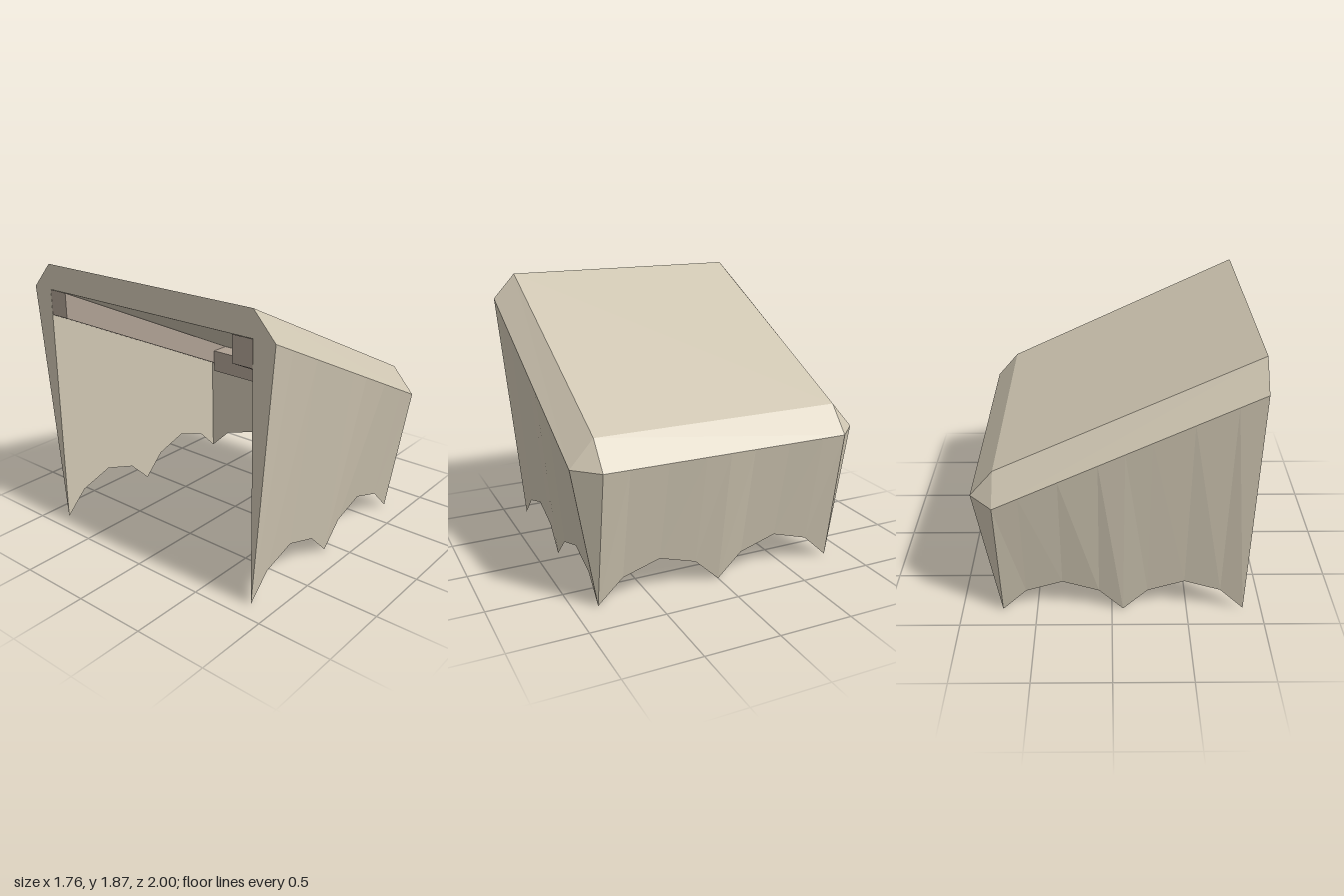
import * as THREE from 'three';

// Main dimensions: open high end at X0, low end at X1 (eave reaches XE)
const X0 = -0.88, X1 = 0.73, XE = 0.88;
const ZI = 0.845, ZE = 1;
const TOP0 = 1.865, TOP1 = 1.1, EAVE0 = 1.695, EAVE1 = 0.925;
const lerp = THREE.MathUtils.lerp;

// Scalloped hem: position along the wall and height
const HEM = [[0, 0], [0.1, 0.158], [0.25, 0.235], [0.4, 0.158], [0.5, 0],
  [0.6, 0.158], [0.75, 0.235], [0.9, 0.158], [1, 0]];

// Flat-faced geometry from convex polygons
function polygons(list) {
  const pos = [];
  for (const p of list) {
    for (let i = 1; i < p.length - 1; i++) pos.push(...p[0], ...p[i], ...p[i + 1]);
  }
  const g = new THREE.BufferGeometry();
  g.setAttribute('position', new THREE.Float32BufferAttribute(pos, 3));
  g.computeVertexNormals();
  return g;
}

// Triangulated cloth strip between a hem line and a top line
function strip(bottom, top) {
  const tris = [];
  for (let i = 0; i < bottom.length - 1; i++) {
    tris.push([bottom[i], bottom[i + 1], top[i + 1]], [bottom[i], top[i + 1], top[i]]);
  }
  return polygons(tris);
}

export function createModel() {
  const group = new THREE.Group();
  const canvas = new THREE.MeshStandardMaterial({ color: 0xcfc6b2, side: THREE.DoubleSide, flatShading: true });
  canvas.name = 'canvas';
  const timber = new THREE.MeshStandardMaterial({ color: 0xaea093, flatShading: true });
  timber.name = 'timber';

  const add = (name, geometry, material = canvas) => {
    const m = new THREE.Mesh(geometry, material);
    m.name = name;
    group.add(m);
    return m;
  };

  // Sloping roof, low-end bevel and ceiling
  add('roofPanel', polygons([[[X0, TOP0, ZI], [X1, TOP1, ZI], [X1, TOP1, -ZI], [X0, TOP0, -ZI]]]));
  add('lowEave', polygons([[[X1, TOP1, ZI], [XE, EAVE1, ZI], [XE, EAVE1, -ZI], [X1, TOP1, -ZI]]]));
  add('ceiling', polygons([[[X0, EAVE0, ZI], [X0, EAVE0, -ZI], [X1, EAVE1, -ZI], [X1, EAVE1, ZI]]]));

  // Thick rim of the roof at the open end
  add('openEndRim', polygons([[[X0, EAVE0, -ZE], [X0, EAVE0, ZE], [X0, TOP0, ZI], [X0, TOP0, -ZI]]]));

  for (const s of [1, -1]) {
    const side = s > 0 ? 'front' : 'back';
    // Roof bevels along the side and over the corner
    add(side + 'Eave', polygons([[[X0, TOP0, s * ZI], [X0, EAVE0, s * ZE], [X1, EAVE1, s * ZE], [X1, TOP1, s * ZI]]]));
    add(side + 'EaveCorner', polygons([[[X1, TOP1, s * ZI], [X1, EAVE1, s * ZE], [XE, EAVE1, s * ZI]]]));

    // Side curtain: outer face leans out to the eave, lining hangs straight
    const hem = HEM.map(([t, y]) => [lerp(X0, X1, t), y, s * ZI]);
    const topAt = z => HEM.map(([t]) => [lerp(X0, X1, t), lerp(EAVE0, EAVE1, t), s * z]);
    add(side + 'Curtain', strip(hem, topAt(ZE)));
    add(side + 'Lining', strip(hem, topAt(ZI)));
    add(side + 'CurtainEnd', polygons([[[X0, 0, s * ZI], [X0, EAVE0, s * ZE], [X0, EAVE0, s * ZI]]]));
    add(side + 'CornerFold', polygons([[[X1, 0, s * ZI], [X1, EAVE1, s * ZE], [XE, EAVE1, s * ZI]]]));

    // Rafter under the roof, following the slope
    const shape = new THREE.Shape([[X0, EAVE0], [X0, EAVE0 - 0.17], [X1, EAVE1 - 0.17], [X1, EAVE1]]
      .map(([x, y]) => new THREE.Vector2(x, y - 0.002)));
    const rafter = add(side + 'Rafter', new THREE.ExtrudeGeometry(shape, { depth: 0.143, bevelEnabled: false }), timber);
    rafter.position.z = s > 0 ? 0.7 : -0.843;
  }

  // Low-end curtain with its lining
  const hem = HEM.map(([t, y]) => [X1, y, lerp(ZI, -ZI, t)]);
  const topAt = x => HEM.map(([t]) => [x, EAVE1, lerp(ZI, -ZI, t)]);
  add('lowCurtain', strip(hem, topAt(XE)));
  add('lowLining', strip(hem, topAt(X1)));

  // Cross beam joining the rafters at the low end
  const beam = add('crossBeam', new THREE.BoxGeometry(0.143, 0.17, 1.4), timber);
  beam.position.set(X1 - 0.0735, EAVE1 - 0.087, 0);

  return group;
}
